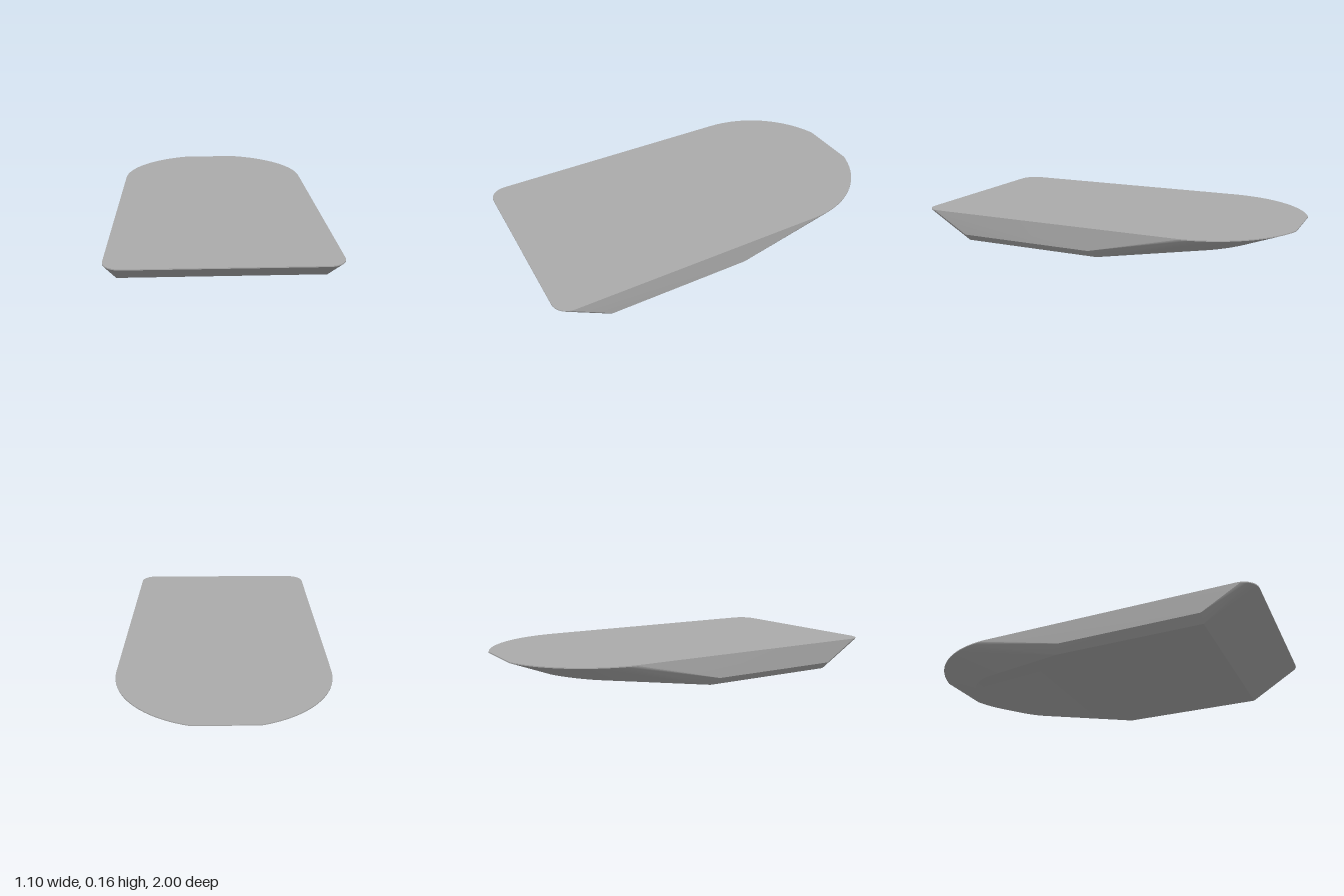
import * as THREE from 'three';
import { ConvexGeometry } from 'three/addons/geometries/ConvexGeometry.js';
import { toCreasedNormals } from 'three/addons/utils/BufferGeometryUtils.js';

const HALF_WIDTH = 0.55, DECK = 0.16, LIP = 0.005, ARC_Z = -0.474;

// Half of a rounded tail, cut off square at x = 0.16
function tailArc(radius, steps, heightAt) {
  const end = Math.acos(0.16 / radius);
  const points = [];
  for (let i = 0; i <= steps; i++) {
    const a = (end * i) / steps;
    const z = ARC_Z - radius * Math.sin(a);
    points.push(new THREE.Vector3(radius * Math.cos(a), heightAt(z), z));
  }
  return points;
}

// Rounded front corner of the deck
function frontCorner(radius, steps, y) {
  const points = [];
  for (let i = 0; i <= steps; i++) {
    const a = (Math.PI / 2 * i) / steps;
    points.push(new THREE.Vector3(
      HALF_WIDTH - radius + radius * Math.cos(a), y, 1 - radius + radius * Math.sin(a)));
  }
  return points;
}

export function createModel() {
  const group = new THREE.Group();
  group.name = 'hullModel';
  const grey = new THREE.MeshStandardMaterial({ color: 0xaaaaaa });
  grey.name = 'grey';

  // Left half: deck outline with a thin lip, chined bottom, rising tail
  const half = [];
  for (const y of [DECK, DECK - LIP]) {
    half.push(...tailArc(HALF_WIDTH, 20, () => y), ...frontCorner(0.09, 8, y));
  }
  half.push(
    new THREE.Vector3(0.55, 0.04, 0.73), new THREE.Vector3(0.55, 0.04, -0.03),
    new THREE.Vector3(0.51, 0, 0.73), new THREE.Vector3(0.51, 0, -0.06));
  half.push(...tailArc(0.354, 14, z => 0.075 * (-0.06 - z) / 0.73));

  // Mirror and wrap into one solid hull
  const all = half.concat(half.map(p => new THREE.Vector3(-p.x, p.y, p.z)));
  const hull = new THREE.Mesh(toCreasedNormals(new ConvexGeometry(all), 0.3), grey);
  hull.name = 'hull';
  group.add(hull);
  return group;
}
